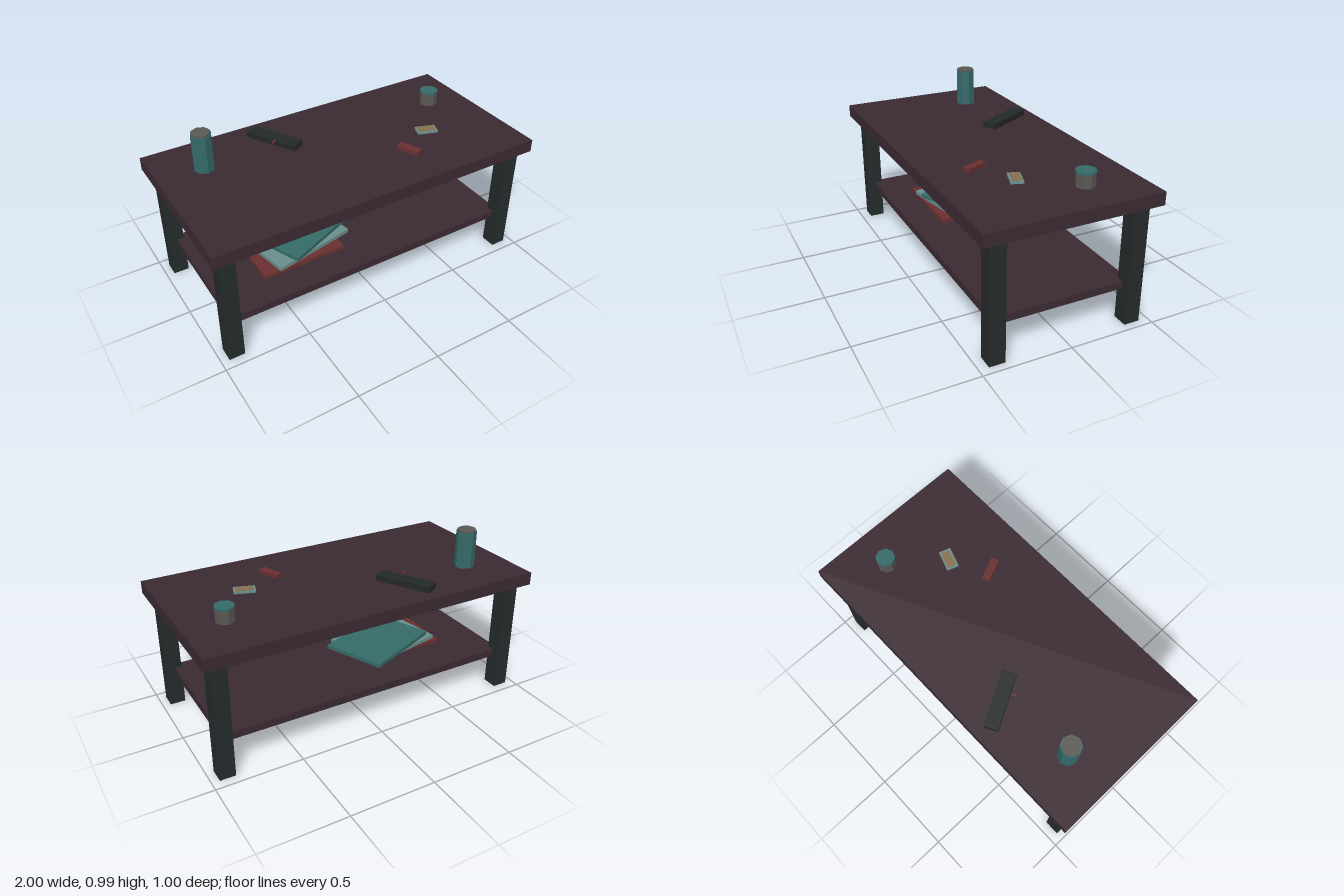
import * as THREE from 'three';

const colors = {
  wood: 0x3b2a32, leg: 0x252b2b, black: 0x232828, teal: 0x356b69,
  paleTeal: 0x6a8f8c, red: 0x6b3030, grey: 0x5a5854, tan: 0x86704f,
};
const materials = {};
for (const [key, color] of Object.entries(colors)) {
  materials[key] = new THREE.MeshStandardMaterial({ color, flatShading: true });
}

const SHELF_Y = 0.241;
const TOP_Y = 0.765;

export function createModel() {
  const model = new THREE.Group();
  model.name = 'coffeeTable';

  const add = (name, geometry, material, x, y, z, turn = 0) => {
    const mesh = new THREE.Mesh(geometry, materials[material]);
    mesh.name = name;
    mesh.position.set(x, y, z);
    mesh.rotation.y = turn;
    model.add(mesh);
  };
  // Box and octagonal drum, both placed by the height of their base
  const box = (name, material, w, h, d, x, base, z, turn) =>
    add(name, new THREE.BoxGeometry(w, h, d), material, x, base + h / 2, z, turn);
  const drum = (name, material, r, h, x, base, z) =>
    add(name, new THREE.CylinderGeometry(r, r, h, 8), material, x, base + h / 2, z);

  // Table frame
  box('tableTop', 'wood', 2, 0.074, 1, 0, TOP_Y - 0.074, 0);
  box('lowerShelf', 'wood', 1.81, 0.044, 0.8, 0, SHELF_Y - 0.044, 0);
  for (const sx of [1, -1]) {
    for (const sz of [1, -1]) {
      const name = (sz > 0 ? 'front' : 'back') + (sx > 0 ? 'Left' : 'Right') + 'Leg';
      box(name, 'leg', 0.09, 0.691, 0.09, sx * 0.91, 0, sz * 0.4);
    }
  }

  // Fanned stack of magazines on the shelf
  [
    ['red', -0.366, 0.037, 0],
    ['paleTeal', -0.3125, 0, 0.2],
    ['teal', -0.2575, -0.035, 0.402],
  ].forEach(([material, x, z, turn], i) => {
    box('magazine' + (i + 1), material, 0.51, 0.023, 0.38, x, SHELF_Y + i * 0.0238 + 0.001, z, turn);
  });

  // Bottle with its cap, and a lidded cup
  drum('bottle', 'teal', 0.059, 0.218, -0.73, TOP_Y, -0.218);
  drum('bottleCap', 'grey', 0.054, 0.01, -0.73, TOP_Y + 0.218, -0.218);
  drum('cup', 'grey', 0.054, 0.074, 0.762, TOP_Y, -0.183);
  drum('cupLid', 'teal', 0.056, 0.013, 0.762, TOP_Y + 0.074, -0.183);

  // Black case with a small red indicator beside it
  box('case', 'black', 0.083, 0.035, 0.33, -0.276, TOP_Y, -0.273, 0.507);
  box('indicator', 'red', 0.024, 0.012, 0.012, -0.31, 0.8, -0.205, 0.507);

  // Lighter and small packet with a label panel
  box('lighter', 'red', 0.045, 0.024, 0.135, 0.325, TOP_Y, 0.219, 0.4);
  box('packet', 'paleTeal', 0.122, 0.013, 0.07, 0.541, TOP_Y, 0.092, -0.32);
  box('packetPanel', 'tan', 0.1, 0.004, 0.051, 0.541, TOP_Y + 0.013, 0.09, -0.32);

  return model;
}
